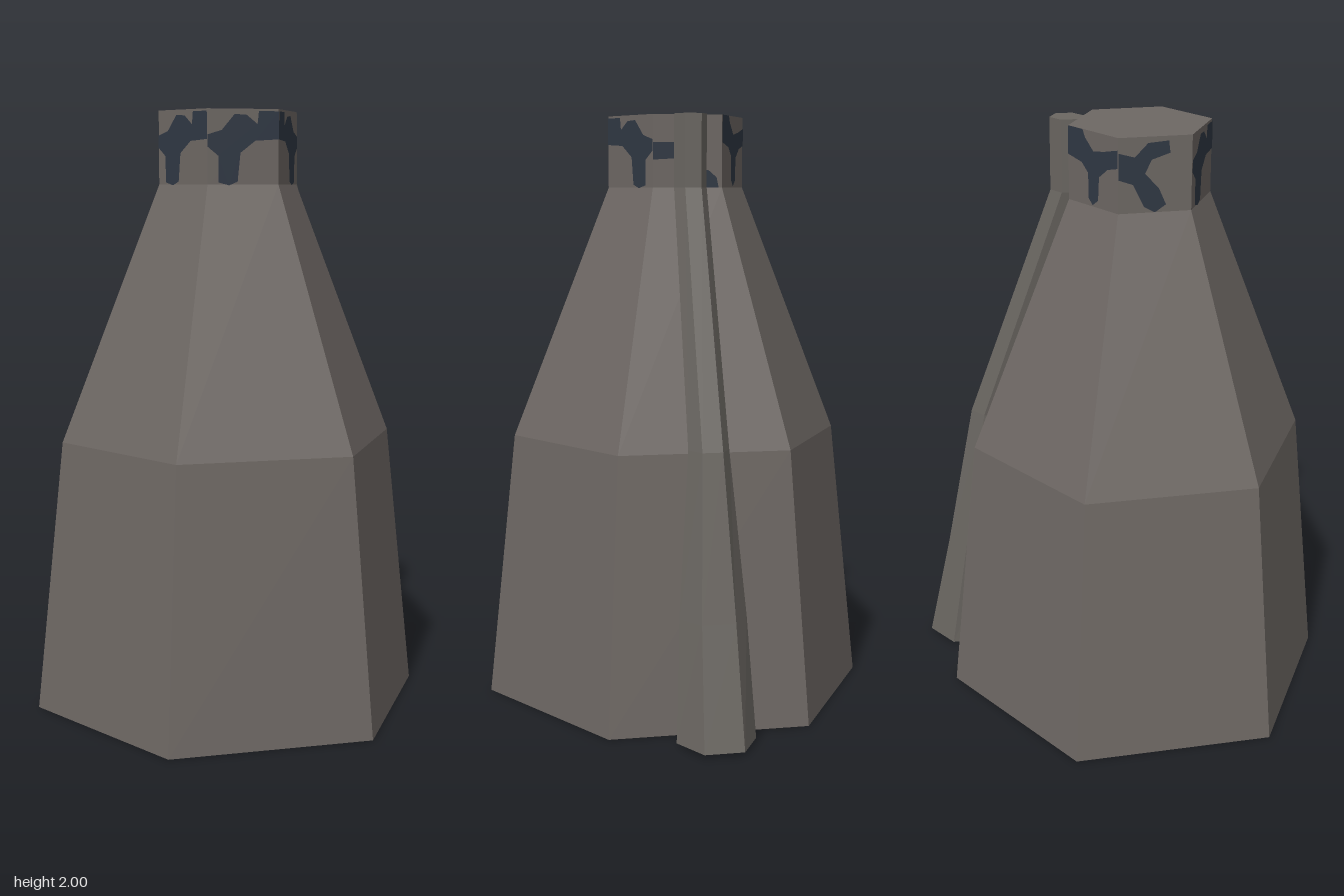
import * as THREE from 'three';

const mat = (name, color) => new THREE.MeshStandardMaterial({ name, color, flatShading: true });

// Hexagonal loft through rings [y, centreX, radiusX, radiusZ], listed bottom to top
function hexLoft(rings, capBottom) {
  const pos = [];
  const pt = ([y, cx, rx, rz], k) => {
    const a = k * Math.PI / 3;
    return [cx + rx * Math.sin(a), y, rz * Math.cos(a)];
  };
  const tri = (a, b, c) => pos.push(...a, ...b, ...c);
  const top = rings[rings.length - 1], bottom = rings[0];
  for (let k = 0; k < 6; k++) {
    for (let i = 0; i < rings.length - 1; i++) {
      const a = pt(rings[i], k), b = pt(rings[i], k + 1);
      const c = pt(rings[i + 1], k + 1), d = pt(rings[i + 1], k);
      tri(a, b, c);
      tri(a, c, d);
    }
    tri([top[1], top[0], 0], pt(top, k), pt(top, k + 1));
    if (capBottom) tri([bottom[1], bottom[0], 0], pt(bottom, k + 1), pt(bottom, k));
  }
  const g = new THREE.BufferGeometry();
  g.setAttribute('position', new THREE.Float32BufferAttribute(pos, 3));
  g.computeVertexNormals();
  return g;
}

const polygon = (r, n) => Array.from({ length: n }, (_, i) => {
  const a = i * 2 * Math.PI / n;
  return new THREE.Vector2(r * Math.sin(a), r * Math.cos(a));
});

export function createModel() {
  const root = new THREE.Group();
  const stone = mat('stone', 0x6e6864);
  const pipeMetal = mat('pipe metal', 0x6b6762);
  const paint = mat('dark blue paint', 0x303844);
  const soot = mat('soot black', 0x1a1a1a);
  const red = mat('ember red', 0xd40c44);
  const orange = mat('ember orange', 0xd46c10);
  const grey = mat('ash grey', 0x686461);
  const add = (name, geo, material, parent = root) => {
    const m = new THREE.Mesh(geo, material);
    m.name = name;
    parent.add(m);
    return m;
  };

  // Tapered hexagonal tower
  const cx = -0.11;
  const body = [[0, 0.667], [0.91, 0.57], [1.76, 0.235], [2, 0.235]];
  add('towerBody', hexLoft(body.map(([y, r]) => [y, cx, r, r]), false), stone);

  // Side pipe that flares toward its foot
  add('sidePipe', hexLoft([
    [0.01, 0.567, 0.138, 0.13], [0.4, 0.51, 0.104, 0.11], [0.93, 0.438, 0.071, 0.067],
    [1.76, 0.141, 0.057, 0.055], [2, 0.141, 0.057, 0.055],
  ], true), pipeMetal);

  // Concentric coloured rings on the underside
  const base = new THREE.Group();
  base.name = 'underside';
  base.position.x = cx;
  base.rotation.x = Math.PI / 2;
  root.add(base);
  const zones = [
    ['sootRim', 0.667, 6, soot], ['redRing', 0.39, 24, red],
    ['orangeRing', 0.245, 16, orange], ['ashCentre', 0.14, 12, grey],
  ];
  zones.forEach(([name, r, n, m], i) => {
    const s = new THREE.Shape(polygon(r, n));
    const next = zones[i + 1];
    if (next) s.holes.push(new THREE.Path(polygon(next[1], next[2])));
    add(name, new THREE.ShapeGeometry(s), m, base);
  });

  // Painted patches on the neck faces, in face units from 0 to 1
  const branch = [[0, 0.6], [0.33, 0.58], [0.54, 0.42], [0.58, 0.04], [0.7, -0.01], [0.85, 0.03],
    [0.85, 0.38], [1, 0.5], [1, 0.66], [0.8, 0.72], [0.62, 0.93], [0.45, 0.92], [0.3, 0.8],
    [0.28, 0.97], [0, 0.97]];
  const mirrored = branch.map(([u, v]) => [1 - u, v]).reverse();
  const band = [[0, 0.38], [0.35, 0.4], [0.42, 0.5], [0.3, 0.62], [0, 0.62]];
  const spot = [[0.62, 0], [0.95, 0], [0.92, 0.14], [0.8, 0.24], [0.62, 0.25]];
  const fork = [[0, 0.45], [0.2, 0.38], [0.35, 0.08], [0.5, 0], [0.65, 0.1], [0.55, 0.32], [0.36, 0.52],
    [0.45, 0.7], [0.7, 0.78], [0.68, 0.94], [0.4, 0.92], [0.22, 0.74], [0, 0.8]];
  const wye = [[0, 0.62], [0.28, 0.56], [0.41, 0.44], [0.42, 0.1], [0.5, 0.02], [0.61, 0.1],
    [0.63, 0.42], [0.8, 0.55], [1, 0.6], [1, 0.84], [0.75, 0.78], [0.52, 0.74], [0.35, 0.9],
    [0.3, 1], [0, 1]];
  const faces = [[branch], [band, spot], [wye], [fork], [mirrored], [mirrored]];
  const side = 0.235, height = 0.24, apothem = 0.235 * Math.cos(Math.PI / 6);
  faces.forEach((patches, k) => {
    const face = new THREE.Group();
    face.name = 'neckPaint' + (k + 1);
    face.position.set(cx, 1.76, 0);
    face.rotation.y = Math.PI / 6 + k * Math.PI / 3;
    root.add(face);
    for (const patch of patches) {
      const shape = new THREE.Shape(patch.map(([u, v]) =>
        new THREE.Vector2((u - 0.5) * side, v * height)));
      add('paintPatch', new THREE.ShapeGeometry(shape), paint, face).position.z = apothem + 0.002;
    }
  });
  return root;
}
